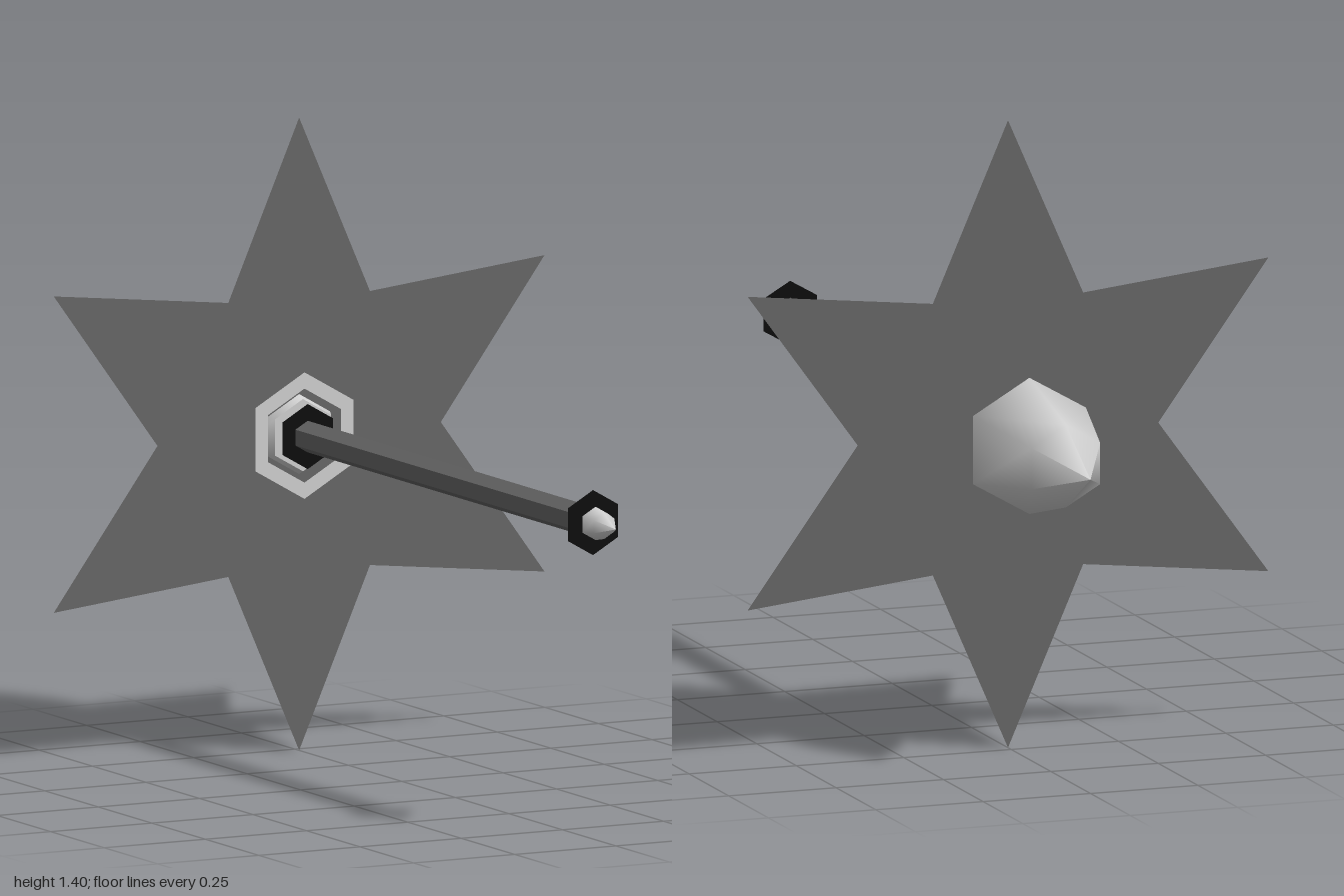
import * as THREE from 'three';

const CENTER_Y = 0.7;
const light = new THREE.MeshStandardMaterial({ color: 0xd0d0d0, side: THREE.DoubleSide });
light.name = 'paleSteel';
const grey = new THREE.MeshStandardMaterial({ color: 0x666666, side: THREE.DoubleSide });
grey.name = 'darkGrey';
const black = new THREE.MeshStandardMaterial({ color: 0x060606, side: THREE.DoubleSide });
black.name = 'black';

export function createModel() {
  const group = new THREE.Group();
  group.name = 'starGuardedSpike';

  const add = (name, geometry, material, z = 0) => {
    const mesh = new THREE.Mesh(geometry, material);
    mesh.name = name;
    mesh.position.set(0, CENTER_Y, z);
    group.add(mesh);
  };

  // six-sided smooth body along z from [z, radius] pairs, corners up and down
  const hexBody = (profile) =>
    new THREE.LatheGeometry(profile.map(([z, r]) => new THREE.Vector2(r, z)), 6).rotateX(Math.PI / 2);
  const hexPlate = (radius) => new THREE.CircleGeometry(radius, 6).rotateZ(Math.PI / 2);

  // long faceted shaft
  const shaft = new THREE.CylinderGeometry(0.035, 0.035, 1.336, 6).rotateX(Math.PI / 2).toNonIndexed();
  shaft.computeVertexNormals();
  add('shaft', shaft, grey, 0.222);

  // pointed front tip
  add('frontTip', hexBody([[0.905, 0.037], [0.945, 0.029], [1, 0]]), light);
  add('frontTipBase', hexPlate(0.037).rotateY(Math.PI), light, 0.905);

  // large rear spike with its flat front end
  add('rearSpike', hexBody([[-1, 0], [-0.845, 0.092], [-0.615, 0.152], [-0.462, 0.08]]), light);
  add('rearSpikeBase', hexPlate(0.08), light, -0.462);

  // thin black collars at both ends of the shaft
  add('frontCollar', hexPlate(0.072), black, 0.893);
  add('rearCollar', hexPlate(0.072), black, -0.44);

  // flat pale ring in front of the star
  add('guardRing', new THREE.RingGeometry(0.104, 0.14, 6).rotateZ(Math.PI / 2), light, -0.455);

  // flat six-pointed star
  const points = [];
  for (let i = 0; i < 12; i++) {
    const r = i % 2 ? 0.35 : 0.7;
    const a = Math.PI / 2 + (i * Math.PI) / 6;
    points.push(new THREE.Vector2(r * Math.cos(a), r * Math.sin(a)));
  }
  add('starGuard', new THREE.ShapeGeometry(new THREE.Shape(points)), grey, -0.48);

  return group;
}
